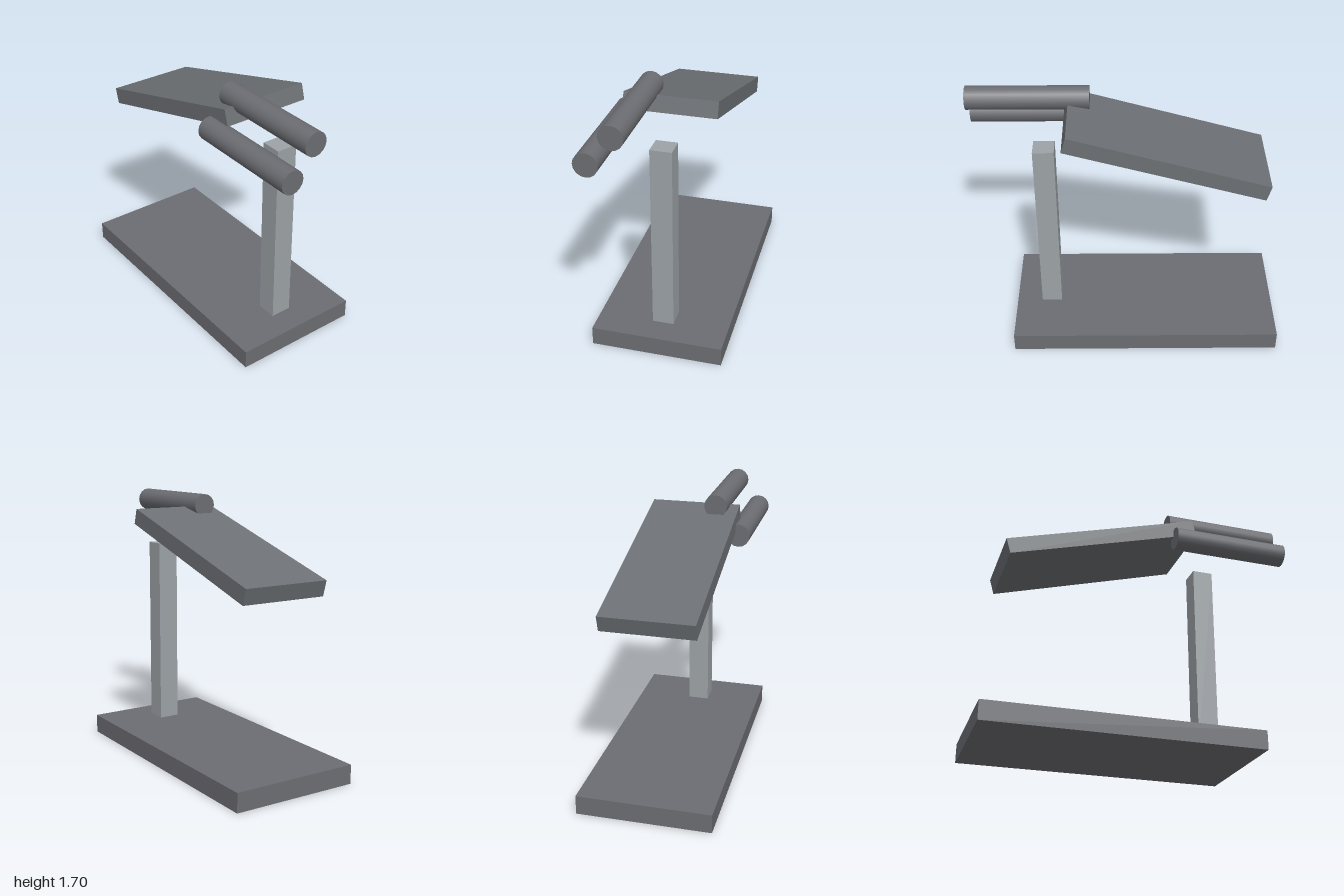
import * as THREE from 'three';

export function createModel() {
  const model = new THREE.Group();
  const darkGrey = new THREE.MeshStandardMaterial({ color: 0x6c6d72 });
  const slateGrey = new THREE.MeshStandardMaterial({ color: 0x6c7074 });
  const lightGrey = new THREE.MeshStandardMaterial({ color: 0x9ca2a6 });
  darkGrey.name = 'dark grey';
  slateGrey.name = 'slate grey';
  lightGrey.name = 'light grey';

  const add = (name, geometry, material, x, y, z, tilt = 0) => {
    const mesh = new THREE.Mesh(geometry, material);
    mesh.name = name;
    mesh.position.set(x, y, z);
    mesh.rotation.z = tilt;
    model.add(mesh);
  };

  // Base slab and upright post
  add('base', new THREE.BoxGeometry(1.76, 0.123, 0.842), darkGrey, -0.12, 0.0615, 0);
  add('post', new THREE.BoxGeometry(0.135, 1.237, 0.137), lightGrey, 0.522, 1.7415 - 1, 0);

  // Tilted panel
  add('panel', new THREE.BoxGeometry(1.297, 0.104, 0.58), slateGrey, -0.243, 1.382, 0, 0.28);

  // Two horizontal rods
  const rod = new THREE.CylinderGeometry(0.075, 0.075, 0.768, 16).rotateZ(Math.PI / 2);
  add('upperRod', rod, darkGrey, 0.616, 1.625, 0.155);
  add('lowerRod', rod, darkGrey, 0.616, 1.441, 0.308);

  return model;
}
